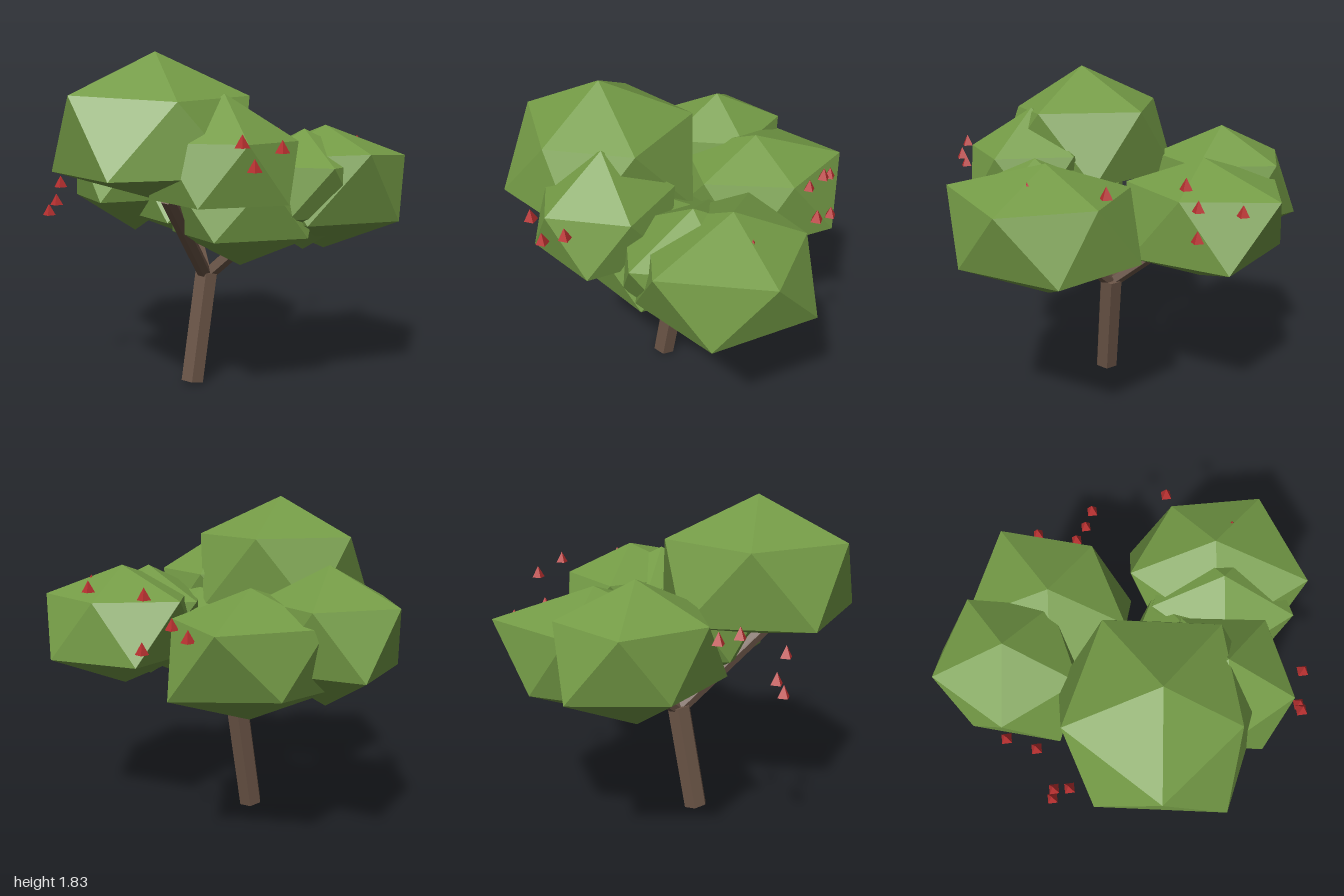
import * as THREE from 'three';

const mat = (name, color) => {
  const m = new THREE.MeshStandardMaterial({ color });
  m.name = name;
  return m;
};

// Twenty-sided leaf clump: top point, two staggered rings of five, bottom point.
// Nudges move single ring corners (u = upper, l = lower) to make it irregular.
function clumpGeometry([yTop, yUpper, yLower, yBottom], rUpper, rLower, depth, nudges) {
  const ring = (key, r, y, start) => Array.from({ length: 5 }, (_, i) => {
    const a = THREE.MathUtils.degToRad(start + 72 * i);
    const [dx, dy, dz] = nudges[key + i] ?? [0, 0, 0];
    return [r * Math.cos(a) + dx, y + dy, -r * depth * Math.sin(a) + dz];
  });
  const u = ring('u', rUpper, yUpper, 0);
  const l = ring('l', rLower, yLower, 36);
  const top = [0, yTop, 0];
  const bottom = [0, yBottom, 0];
  const corners = [];
  for (let i = 0; i < 5; i++) {
    const j = (i + 1) % 5;
    corners.push(top, u[i], u[j], u[i], l[i], u[j], l[i], l[j], u[j], l[j], l[i], bottom);
  }
  const g = new THREE.BufferGeometry();
  g.setAttribute('position', new THREE.Float32BufferAttribute(corners.flat(), 3));
  g.computeVertexNormals();
  return g;
}

// Six-sided limb between two points
function limb(name, from, to, r, material) {
  const a = new THREE.Vector3(...from);
  const b = new THREE.Vector3(...to);
  const dir = b.clone().sub(a);
  const g = new THREE.CylinderGeometry(r, r, dir.length(), 6).toNonIndexed();
  g.computeVertexNormals();
  const mesh = new THREE.Mesh(g, material);
  mesh.name = name;
  mesh.position.copy(a).add(b).multiplyScalar(0.5);
  mesh.quaternion.setFromUnitVectors(new THREE.Vector3(0, 1, 0), dir.normalize());
  return mesh;
}

export function createModel() {
  const tree = new THREE.Group();
  tree.name = 'fruitTree';
  const leaf = mat('leafGreen', 0x749b46);
  const bark = mat('barkBrown', 0x6a5446);
  const red = mat('fruitRed', 0xb83030);

  // Leaning trunk and three branches
  const fork = [-0.11, 0.6, 0.06];
  tree.add(limb('trunk', [-0.187, 0.012, 0.135], [-0.108, 0.625, 0.06], 0.07, bark));
  tree.add(limb('leftBranch', fork, [0.19, 0.89, 0.17], 0.038, bark));
  tree.add(limb('backBranch', fork, [-0.22, 0.92, -0.33], 0.038, bark));
  tree.add(limb('frontBranch', fork, [-0.28, 1.11, 0.56], 0.04, bark));

  // Leaf clumps: name, x, z, heights, upper radius, lower radius, depth factor, nudges
  const clumps = [
    ['topClump', -0.35, 0.39, [1.83, 1.61, 1.225, 1.08], 0.475, 0.54, 1.04,
      { u4: [-0.01, -0.03, -0.1] }],
    ['backClump', -0.18, -0.47, [1.4, 1.25, 0.9, 0.72], 0.44, 0.48, 1.12,
      { u0: [-0.05, 0, -0.03], u1: [0.02, 0, -0.02], u4: [0, 0, -0.07],
        l1: [0, 0.03, 0.1], l4: [-0.01, 0, -0.07] }],
    ['backRightClump', -0.57, -0.42, [1.51, 1.33, 1.01, 0.785], 0.35, 0.36, 1.12,
      { u2: [-0.035, 0, 0], u3: [-0.02, 0, -0.01], l1: [-0.03, 0, -0.04], l3: [-0.03, 0, 0.04] }],
    ['middleClump', 0.08, 0.29, [1.36, 1.2, 0.9, 0.715], 0.42, 0.42, 0.9,
      { l2: [0.06, 0, 0] }],
    ['frontClump', 0, 0.52, [1.62, 1.39, 1.1, 1.06], 0.365, 0.38, 1, {}],
    ['leftClump', 0.55, 0.07, [1.455, 1.29, 0.965, 0.77], 0.44, 0.44, 1.12,
      { u1: [-0.03, 0, 0.11], u4: [0.03, 0.035, 0.025] }],
    ['innerLeftClump', 0.42, 0.22, [1.44, 1.26, 1.0, 0.79], 0.37, 0.33, 1.1, {}],
  ];
  for (const [name, x, z, ...shape] of clumps) {
    const mesh = new THREE.Mesh(clumpGeometry(...shape), leaf);
    mesh.name = name;
    mesh.position.set(x, 0, z);
    tree.add(mesh);
  }

  // Small pyramid fruits
  const fruits = new THREE.Group();
  fruits.name = 'fruits';
  const fruitGeometry = new THREE.ConeGeometry(0.035, 0.062, 4).toNonIndexed();
  fruitGeometry.computeVertexNormals();
  const spots = [
    [-0.893, 1.28, -0.165], [-0.84, 1.27, -0.015], [-0.967, 0.995, 0.155],
    [-0.928, 1.05, 0.14], [-0.884, 1.157, 0.22],
    [0.083, 1.41, 0.925], [0.139, 1.3, 0.898], [0.267, 1.38, 0.818],
    [0.105, 1.22, -0.805], [0.2, 1.24, -0.603], [0.34, 1.13, -0.66],
    [0.335, 1.385, -0.59], [0.66, 1.385, -0.333], [0.725, 1.37, 0.06],
  ];
  for (const p of spots) {
    const fruit = new THREE.Mesh(fruitGeometry, red);
    fruit.name = 'fruit';
    fruit.position.set(...p);
    fruits.add(fruit);
  }
  tree.add(fruits);
  return tree;
}
